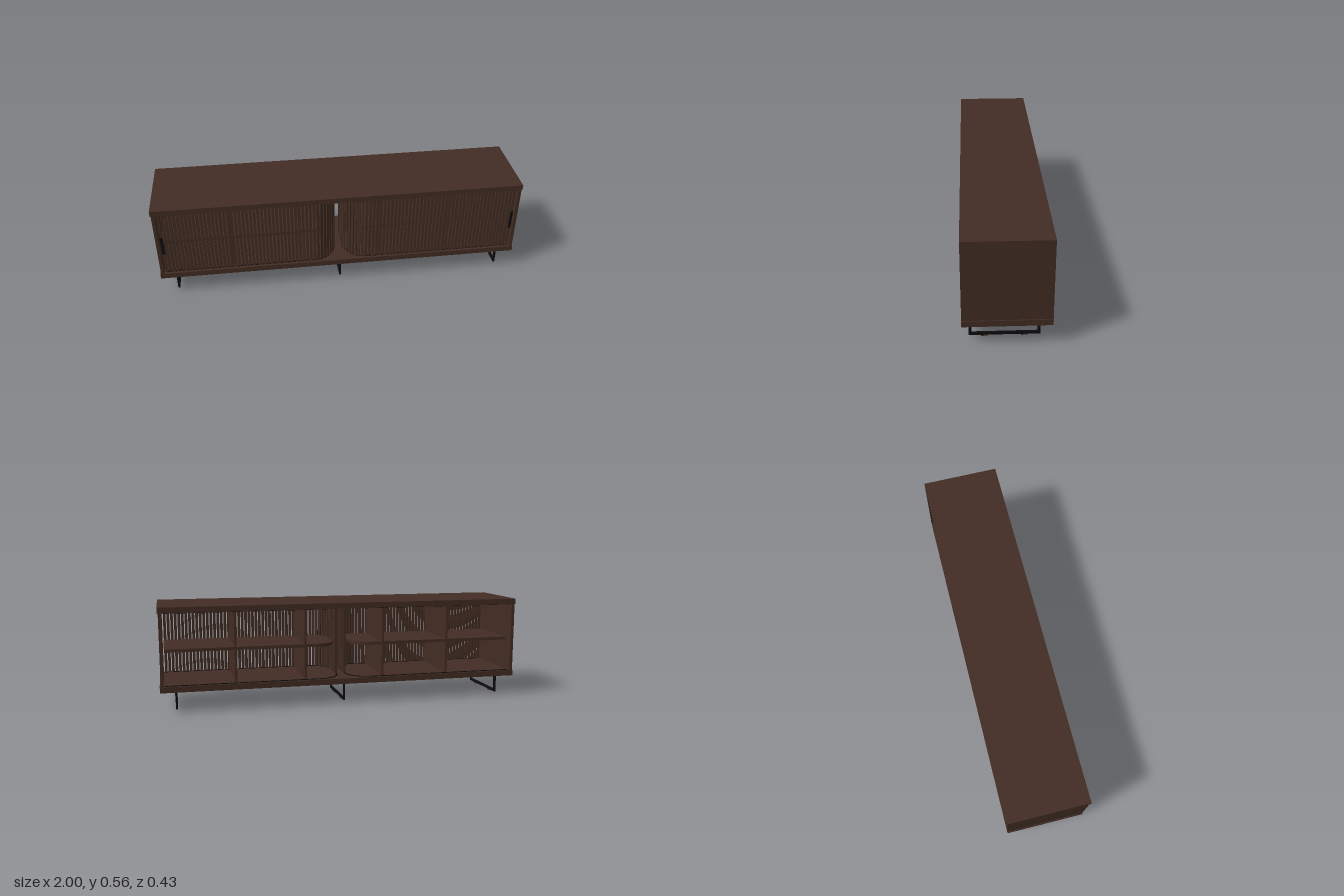
import * as THREE from 'three';
import { mergeGeometries } from 'three/addons/utils/BufferGeometryUtils.js';

const wood = new THREE.MeshStandardMaterial({ color: 0x432d24 });
wood.name = 'dark walnut';
const black = new THREE.MeshStandardMaterial({ color: 0x0c0c0c });
black.name = 'black metal';

// Box given by its extents on each axis
function block(name, mat, [x0, x1], [y0, y1], [z0, z1]) {
  const geo = new THREE.BoxGeometry(x1 - x0, y1 - y0, z1 - z0);
  geo.translate((x0 + x1) / 2, (y0 + y1) / 2, (z0 + z1) / 2);
  const mesh = new THREE.Mesh(geo, mat);
  mesh.name = name;
  return mesh;
}

// Rounded U in plan (x, z): along the front, round into the centre channel, out along the back
function trackPath(inset) {
  const xIn = 0.025 + inset, z = 0.195 - inset, r = 0.12 - inset, xc = 0.145, zc = 0.075;
  const path = new THREE.Path();
  path.moveTo(0.972, z);
  path.lineTo(xc, z);
  path.absarc(xc, zc, r, Math.PI / 2, Math.PI, false);
  path.lineTo(xIn, -zc);
  path.absarc(xc, -zc, r, Math.PI, Math.PI * 1.5, false);
  path.lineTo(0.972, -z);
  return path;
}

// Flat slab cut from a plan outline
function slab(name, mat, points, y0, y1) {
  const geo = new THREE.ExtrudeGeometry(new THREE.Shape(points), { depth: y1 - y0, bevelEnabled: false });
  geo.rotateX(Math.PI / 2).translate(0, y1, 0);
  const mesh = new THREE.Mesh(geo, mat);
  mesh.name = name;
  return mesh;
}

const planPoints = (inset, side) => trackPath(inset).getPoints(12)
  .map(p => new THREE.Vector2(p.x * side, p.y));

// Sliding door of upright slats following the track
function tambour(side) {
  const path = trackPath(0), length = path.getLength(), slats = [];
  for (let d = 0.008; d < 1.16; d += 0.02) {
    const p = path.getPointAt(d / length), t = path.getTangentAt(d / length);
    const slat = new THREE.BoxGeometry(0.0145, 0.383, 0.011);
    slat.rotateY(Math.atan2(-t.y, t.x * side));
    slat.translate(p.x * side, 0.3345, p.y);
    slats.push(slat);
  }
  const mesh = new THREE.Mesh(mergeGeometries(slats), wood);
  mesh.name = 'tambourDoor';
  return mesh;
}

// Sled leg: rectangular loop, mounting plate and two floor pads
function sledLeg(x) {
  const leg = new THREE.Group();
  leg.name = 'sledLeg';
  const loop = new THREE.Shape([[-0.18, 0.006], [0.162, 0.006], [0.162, 0.105], [-0.18, 0.105]]
    .map(p => new THREE.Vector2(...p)));
  loop.holes.push(new THREE.Path([[-0.166, 0.02], [-0.166, 0.091], [0.148, 0.091], [0.148, 0.02]]
    .map(p => new THREE.Vector2(...p))));
  const geo = new THREE.ExtrudeGeometry(loop, { depth: 0.01, bevelEnabled: false });
  geo.translate(0, 0, -0.005).rotateY(Math.PI / 2);
  geo.translate(x, 0, 0);
  const frame = new THREE.Mesh(geo, black);
  frame.name = 'legFrame';
  leg.add(frame, block('mountingPlate', black, [x - 0.005, x + 0.005], [0.104, 0.111], [-0.102, 0.122]));
  for (const z of [0.105, -0.086])
    leg.add(block('floorPad', wood, [x - 0.005, x + 0.005], [0, 0.008], [z - 0.017, z + 0.017]));
  return leg;
}

export function createModel() {
  const model = new THREE.Group();
  model.name = 'sideboard';

  // Carcass
  model.add(block('topPanel', wood, [-1, 1], [0.527, 0.558], [-0.213, 0.213]));
  model.add(block('bottomPanel', wood, [-1, 1], [0.11, 0.141], [-0.213, 0.213]));

  for (const side of [-1, 1]) {
    const span = (a, b) => side > 0 ? [a, b] : [-b, -a];
    model.add(block('sidePanel', wood, span(0.978, 0.995), [0.141, 0.527], [-0.213, 0.213]));

    // Shelf with rounded inner corners, and upright dividers
    model.add(slab('shelf', wood, planPoints(0.025, side), 0.316, 0.333));
    for (const x of [0.22, 0.6])
      model.add(block('divider', wood, span(x - 0.006, x + 0.006), [0.141, 0.527], [-0.17, 0.17]));

    // Guide rails under and over the slats
    const rail = [...planPoints(-0.004, side), ...planPoints(0.004, side).reverse()];
    model.add(slab('bottomRail', black, rail, 0.14, 0.144));
    model.add(slab('topRail', black, rail, 0.524, 0.528));

    model.add(tambour(side));
    model.add(block('doorHandle', black, span(0.957, 0.971), [0.27, 0.38], [0.2, 0.206]));
  }

  // Legs
  for (const x of [-0.915, 0, 0.915]) model.add(sledLeg(x));
  return model;
}
